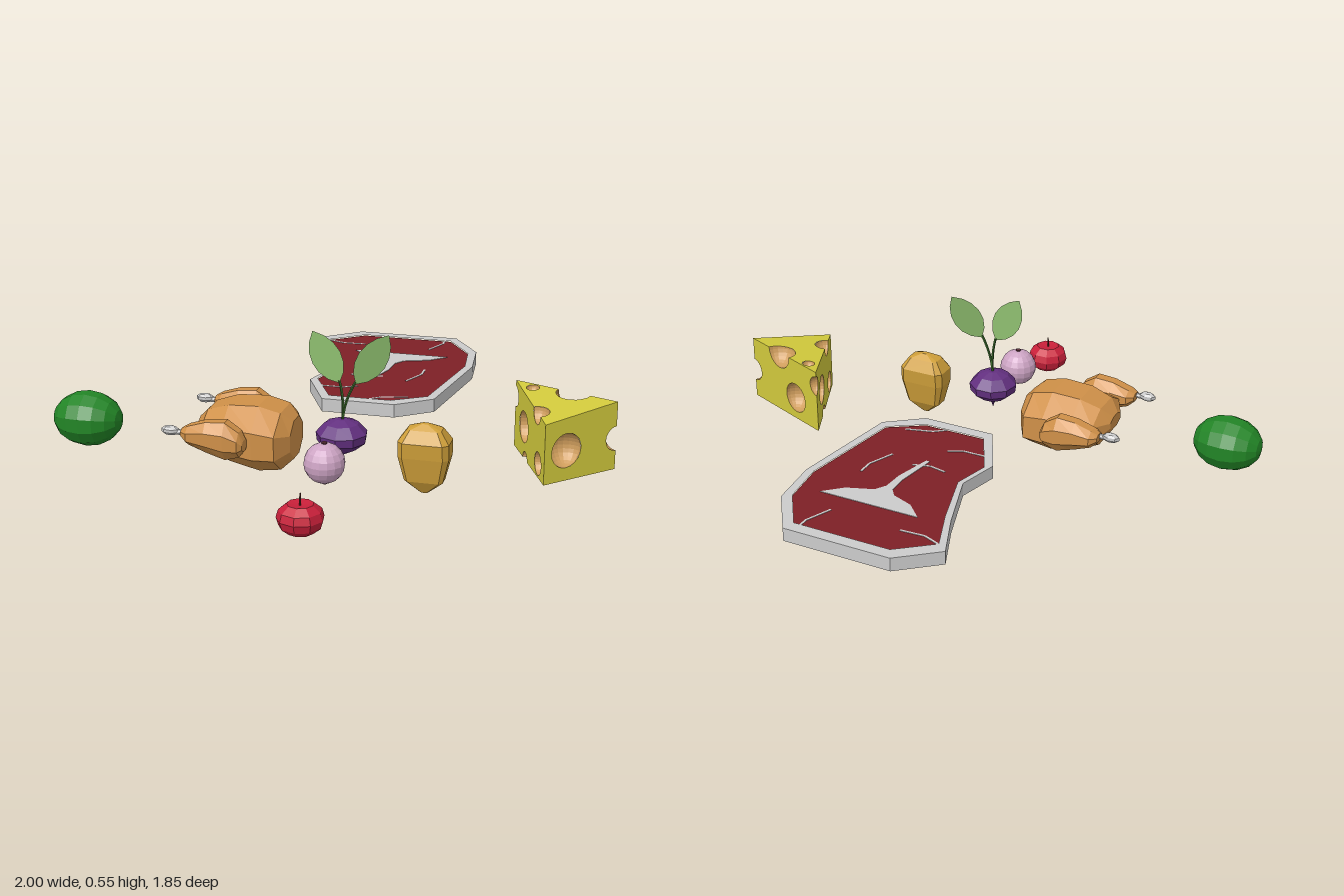
import * as THREE from 'three';

const V = (x, y, z) => new THREE.Vector3(x, y, z);
const mat = (color, extra = {}) => new THREE.MeshStandardMaterial({ color, flatShading: true, ...extra });

function add(parent, name, geometry, material, pos = [0, 0, 0]) {
  const mesh = new THREE.Mesh(geometry, material);
  mesh.name = name;
  mesh.position.set(...pos);
  parent.add(mesh);
  return mesh;
}

function group(parent, name) {
  const g = new THREE.Group();
  g.name = name;
  parent.add(g);
  return g;
}

function fromTriangles(points) {
  const geo = new THREE.BufferGeometry().setFromPoints(points);
  geo.computeVertexNormals();
  return geo;
}

// Capped skin over rings, each counter-clockwise seen from the far end
function loft(rings) {
  const tris = [], n = rings[0].length;
  for (let i = 0; i + 1 < rings.length; i++) {
    for (let j = 0; j < n; j++) {
      const k = (j + 1) % n, a = rings[i], b = rings[i + 1];
      tris.push(a[j], a[k], b[k], a[j], b[k], b[j]);
    }
  }
  const first = rings[0], last = rings[rings.length - 1];
  for (let j = 1; j + 1 < n; j++) {
    tris.push(first[0], first[j + 1], first[j], last[0], last[j], last[j + 1]);
  }
  return fromTriangles(tris);
}

// Octagonal sections along x: [x, centre y, half height, half depth]
const loftX = (sections) => loft(sections.map(([x, y, ry, rz]) =>
  Array.from({ length: 8 }, (_, j) => {
    const a = (j + 0.5) * Math.PI / 4, s = 1 / Math.cos(Math.PI / 8);
    return V(x, y + Math.cos(a) * ry * s, Math.sin(a) * rz * s);
  })));

// Chamfered-rectangle sections along y: [y, half width, half depth]
const loftY = (sections) => loft(sections.map(([y, rx, rz]) => {
  const c = 0.35 * rz;
  return [[rx, rz - c], [rx, c - rz], [rx - c, -rz], [c - rx, -rz],
    [-rx, c - rz], [-rx, rz - c], [c - rx, rz], [rx - c, rz]].map(([x, z]) => V(x, y, z));
}));

const lathe = (pts, sides) => new THREE.LatheGeometry(pts.map(p => new THREE.Vector2(...p)), sides);

// Flat slab from an [x, z] outline between two heights
function slab(outline, y0, y1, inner) {
  const pts = (list) => list.map(([x, z]) => new THREE.Vector2(x, -z));
  const shape = new THREE.Shape(pts(outline));
  if (inner) shape.holes.push(new THREE.Path(pts(inner)));
  const geo = new THREE.ExtrudeGeometry(shape, { depth: y1 - y0, bevelEnabled: false });
  return geo.rotateX(-Math.PI / 2).translate(0, y0, 0);
}

function buildSteak(root) {
  const g = group(root, 'steak'), grey = mat(0xcccccc);
  const outer = [[-.165, -.925], [.24, -.925], [.355, -.755], [.375, -.56], [.31, -.135], [.18, -.035],
    [-.095, -.035], [-.2, -.245], [-.16, -.4], [-.235, -.635], [-.305, -.81]];
  const inner = [[-.14, -.88], [.225, -.88], [.325, -.73], [.345, -.56], [.28, -.16], [.155, -.08],
    [-.08, -.08], [-.175, -.265], [-.14, -.4], [-.205, -.62], [-.265, -.78]];
  const bone = [[-.125, -.665], [.255, -.665], [.19, -.605], [.095, -.57], [.07, -.53], [.065, -.45],
    [.03, -.315], [.015, -.315], [.04, -.475], [.037, -.545], [.015, -.575], [-.065, -.605]];
  add(g, 'fatRim', slab(outer, .135, .185, inner), grey);
  add(g, 'meat', slab(inner, .138, .182), mat(0x7d2026));
  add(g, 'tBone', slab(bone, .136, .184), grey);
  // Fat veins run right through the slab
  const veins = [
    [[-.265, -.78], [-.2, -.755], [-.11, -.76]], [[.2, -.88], [.2, -.845], [.16, -.75]],
    [[.2, -.48], [.2, -.42], [.16, -.325]], [[-.065, -.355], [0, -.342], [.06, -.36]],
    [[-.145, -.193], [-.055, -.193], [-.005, -.22]], [[.07, -.08], [.11, -.112], [.21, -.14]]];
  for (const v of veins) for (let i = 0; i < 2; i++) {
    const [x0, z0] = v[i], [x1, z1] = v[i + 1];
    const box = new THREE.BoxGeometry(Math.hypot(x1 - x0, z1 - z0), .047, .008);
    add(g, 'fatVein', box, grey, [(x0 + x1) / 2, .16, (z0 + z1) / 2]).rotation.y = -Math.atan2(z1 - z0, x1 - x0);
  }
}

function buildCheese(root) {
  const g = group(root, 'cheese');
  const A = V(.62, .3, -.09), B = V(1, .3, .06), C = V(.78, .27, .28);
  const low = (p) => V(p.x, .05, p.z);
  const on = (p, q, t, y) => { const r = p.clone().lerp(q, t); if (y !== undefined) r.y = y; return r; };
  // Hole centres lie on a face or exactly on an edge
  const holes = [
    [on(B, C, .7, .16), .063], [on(A, C, .31, .165), .058], [on(A, C, .8, .1), .042],
    [on(A, C, .72), .045], [on(A, C, .38, .05), .03], [on(A, B, .34, .14), .06],
    [on(A, B, .58), .065], [on(A, A, 0, .24), .04], [on(B, B, 0, .165), .045]];
  const faces = [[A, C, B], [low(A), low(B), low(C)], [low(A), low(C), C, A],
    [low(C), low(B), B, C], [low(B), low(A), A, B]];
  const planes = faces.map(f => new THREE.Plane().setFromCoplanarPoints(f[0], f[1], f[2]));
  const topHole = planes[0].projectPoint(V(.69, .29, -.03), V(0, 0, 0));
  holes.push([topHole, .024]);
  const rind = mat(0xd2ca3c), pit = mat(0xcf9d5c, { side: THREE.BackSide });

  faces.forEach((f, i) => {
    const n = planes[i].normal, u = f[1].clone().sub(f[0]).normalize(), v = n.clone().cross(u);
    const flat = (p) => { const d = p.clone().sub(f[0]); return new THREE.Vector2(d.dot(u), d.dot(v)); };
    const near = holes.filter(([c]) => Math.abs(planes[i].distanceToPoint(c)) < 1e-4);
    const outline = [], used = new Set();
    f.forEach((p, k) => {
      const a = flat(p), b = flat(f[(k + 1) % f.length]);
      const dir = b.clone().sub(a).normalize(), side = new THREE.Vector2(-dir.y, dir.x);
      outline.push(a);
      // Holes centred on this edge bite a half circle out of it
      near.map(h => ({ h, d: flat(h[0]).sub(a) })).filter(({ d }) => Math.abs(d.dot(side)) < 1e-4)
        .sort((s, t) => s.d.dot(dir) - t.d.dot(dir)).forEach(({ h, d }) => {
          used.add(h);
          for (let s = 0; s <= 10; s++) {
            const w = Math.PI * (1 - s / 10);
            outline.push(a.clone().add(d).addScaledVector(dir, Math.cos(w) * h[1]).addScaledVector(side, Math.sin(w) * h[1]));
          }
        });
    });
    const shape = new THREE.Shape(outline);
    for (const h of near) if (!used.has(h)) {
      const c = flat(h[0]);
      shape.holes.push(new THREE.Path().absarc(c.x, c.y, h[1], 0, Math.PI * 2, true));
    }
    const geo = new THREE.ShapeGeometry(shape, 10);
    geo.applyMatrix4(new THREE.Matrix4().makeBasis(u, v, n).setPosition(f[0]));
    add(g, 'cheeseFace', geo, rind);
  });

  // Round pits, trimmed to the inside of the wedge
  for (const [c, r] of holes) {
    const p = new THREE.SphereGeometry(r, 20, 14).translate(c.x, c.y, c.z).toNonIndexed().getAttribute('position');
    const keep = [];
    for (let i = 0; i < p.count; i += 3) {
      const tri = [0, 1, 2].map(k => V(0, 0, 0).fromBufferAttribute(p, i + k));
      if (planes.some(pl => tri.every(q => pl.distanceToPoint(q) > -1e-5))) continue;
      for (const q of tri) for (const pl of planes) {
        const d = pl.distanceToPoint(q);
        if (d > 0) q.addScaledVector(pl.normal, -d);
      }
      keep.push(...tri);
    }
    add(g, 'cheesePit', fromTriangles(keep), pit);
  }
}

function buildChicken(root) {
  const g = group(root, 'roastChicken'), skin = mat(0xcf9048), bone = mat(0xcccccc);
  add(g, 'chickenBody', loftX([[-.45, .175, .025, .05], [-.41, .165, .075, .13], [-.33, .16, .105, .15],
    [-.22, .15, .12, .155], [-.14, .145, .105, .15], [-.1, .145, .07, .08]]), skin, [0, 0, .28]);
  for (const z of [.097, .46]) {
    add(g, 'chickenLeg', loftX([[-.46, .195, .015, .025], [-.435, .19, .033, .046], [-.37, .188, .055, .048],
      [-.3, .18, .068, .05], [-.25, .17, .045, .044], [-.235, .165, .02, .03]]), skin, [0, 0, z]);
    add(g, 'legBone', new THREE.SphereGeometry(1, 7, 5).scale(.034, .018, .019), bone, [-.502, .2, z + .01]);
    add(g, 'boneShaft', new THREE.CylinderGeometry(.01, .01, .06, 6).rotateZ(Math.PI / 2), bone, [-.46, .196, z + .01]);
  }
}

function buildBeet(root) {
  const g = group(root, 'beet'), stemMat = mat(0x3b6b2c);
  add(g, 'beetRoot', lathe([[0, .09], [.008, .115], [.05, .135], [.088, .165], [.092, .195], [.06, .23], [.02, .245], [0, .245]], 9),
    mat(0x633080), [.078, 0, .325]);
  // Two leaves on curved stems: base point, lean, turn
  const leaf = new THREE.Shape();
  leaf.bezierCurveTo(.075, .05, .07, .15, 0, .205);
  leaf.bezierCurveTo(-.07, .15, -.075, .05, 0, 0);
  for (const [x, y, lean, turn, color] of [[.07, .375, .48, .05, 0x8fbf70], [.128, .375, -.6, .45, 0x86b368]]) {
    const path = new THREE.QuadraticBezierCurve3(V(.08, .235, .325), V(x < .1 ? .088 : .085, .31, .325), V(x, y + .01, .327));
    add(g, 'beetStem', new THREE.TubeGeometry(path, 6, .005, 5), stemMat);
    const blade = add(g, 'beetLeaf', new THREE.ShapeGeometry(leaf, 6), mat(color, { side: THREE.DoubleSide }), [x, y, .327]);
    blade.rotation.set(0, turn, lean, 'YXZ');
  }
}

export function createModel() {
  const root = new THREE.Group();
  root.name = 'foodSet';
  buildSteak(root);
  buildCheese(root);
  buildChicken(root);
  buildBeet(root);

  add(root, 'watermelon', new THREE.SphereGeometry(1, 12, 8).rotateZ(Math.PI / 2).rotateX(Math.PI / 12).scale(.128, .101, .105),
    mat(0x228526), [-.872, .163, .328]);

  add(root, 'potato', loftY([[.003, .012, .008], [.05, .068, .036], [.14, .09, .053], [.195, .09, .058],
    [.238, .06, .035], [.256, .012, .01]]), mat(0xd0a03a), [.375, 0, .328]);

  const onion = group(root, 'onion');
  add(onion, 'onionBulb', new THREE.SphereGeometry(.071, 16, 10), mat(0xcda4c4), [.077, .165, .55]);
  for (const y of [.095, .235]) {
    add(onion, 'onionTip', new THREE.CylinderGeometry(.01, .01, .008, 8), mat(0x5a3038), [.077, y, .55]);
  }

  const tomato = group(root, 'tomato');
  add(tomato, 'tomatoFruit', lathe([[0, .033], [.045, .036], [.072, .058], [.08, .085], [.072, .112], [.045, .134], [0, .128]], 9),
    mat(0xc9203a), [.077, 0, .84]);
  add(tomato, 'tomatoStalk', new THREE.CylinderGeometry(.003, .004, .045, 5), mat(0x5a2a20), [.077, .147, .84]).rotation.x = -.1;
  return root;
}
